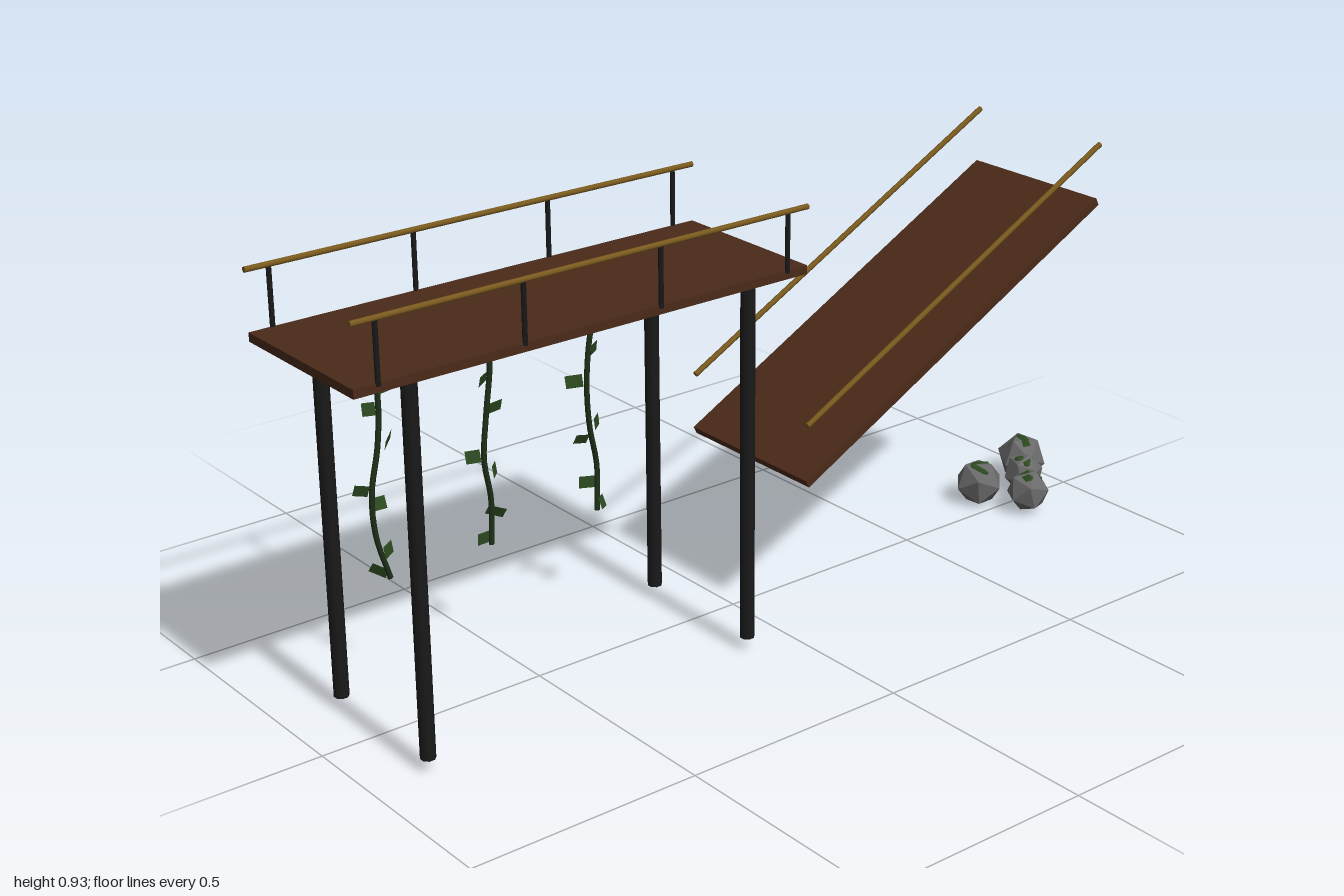
import * as THREE from 'three';

const mat = (color, extra = {}) => {
  const m = new THREE.MeshStandardMaterial({ color, ...extra });
  return m;
};
const wood = mat(0x4a2a18);
const bamboo = mat(0x7a5a1e);
const iron = mat(0x1a1a1a);
const vineGreen = mat(0x1f3018);
const leafGreen = mat(0x2c4a20, { side: THREE.DoubleSide });
const stone = mat(0x6a6a6a, { flatShading: true });
const mossGreen = mat(0x2c4a20, { flatShading: true });

const CZ = 0.0165;      // middle of the walkway in z
const HALF = 0.18;      // half the walkway width

function add(parent, name, geometry, material, x = 0, y = 0, z = 0) {
  const mesh = new THREE.Mesh(geometry, material);
  mesh.name = name;
  mesh.position.set(x, y, z);
  parent.add(mesh);
  return mesh;
}

// Round rail lying along x
function rail(parent, name, length, x, y, z) {
  const g = new THREE.CylinderGeometry(0.006, 0.006, length, 8).rotateZ(Math.PI / 2);
  return add(parent, name, g, bamboo, x, y, z);
}

function buildPlatform() {
  const g = new THREE.Group();
  g.name = 'platform';
  const cx = -0.4875;
  add(g, 'deck', new THREE.BoxGeometry(1.025, 0.018, HALF * 2), wood, cx, 0.806, CZ);
  for (const side of [1, -1]) {
    const z = CZ + side * HALF;
    rail(g, 'handrail', 1.025, cx, 0.935, z);
    for (let i = 0; i < 4; i++) {
      add(g, 'railPost', new THREE.CylinderGeometry(0.005, 0.005, 0.125, 6), iron,
        cx - 0.4625 + i * 0.3083, 0.8725, z);
    }
    for (const end of [1, -1]) {
      add(g, 'pillar', new THREE.CylinderGeometry(0.0155, 0.0155, 0.764, 8).rotateY(Math.PI / 8), iron,
        cx + end * 0.385, 0.418, CZ + side * 0.154);
    }
  }
  return g;
}

function buildRamp() {
  const g = new THREE.Group();
  g.name = 'ramp';
  const tilt = 0.489;
  add(g, 'rampDeck', new THREE.BoxGeometry(0.92, 0.018, HALF * 2 + 0.004), wood, 0.4375, 0.563, CZ).rotation.z = tilt;
  for (const side of [1, -1]) {
    rail(g, 'rampHandrail', 0.92, 0.4375, 0.69, CZ + side * HALF).rotation.z = tilt;
  }
  return g;
}

// Hanging vine: wavy stem with small flat leaves. Path is x at even steps downward.
function buildVine(xs, zs, flip, seed) {
  const g = new THREE.Group();
  g.name = 'vine';
  const top = 0.8, bottom = 0.235;
  const curve = new THREE.CatmullRomCurve3(xs.map((x, i) =>
    new THREE.Vector3(x, top + (bottom - top) * i / (xs.length - 1), zs[i])));
  add(g, 'vineStem', new THREE.TubeGeometry(curve, 28, 0.006, 5), vineGreen);
  // Height, sideways offset and width of each leaf
  const leaves = [
    [0.695, -0.018, 0.036], [0.635, 0.022, 0.04], [0.59, -0.014, 0.026], [0.525, 0.022, 0.036],
    [0.43, -0.018, 0.03], [0.395, 0.02, 0.03], [0.295, 0.018, 0.038], [0.25, -0.012, 0.036],
  ];
  leaves.forEach(([y, dx, w], i) => {
    const p = curve.getPoint((top - y) / (top - bottom));
    const a = Math.sin(seed + i * 2.4);
    const leaf = add(g, 'leaf', new THREE.PlaneGeometry(w, 0.026), leafGreen,
      p.x + dx * flip, y, p.z - 0.006 + 0.008 * a);
    leaf.rotation.set(0.5 * Math.cos(seed + i * 1.7), 0.75 * a, 0.15 * a);
  });
  return g;
}

// Faceted boulder with a mossy top
function buildRock(x, y, z, r, turn) {
  const g = new THREE.Group();
  g.name = 'mossyRock';
  g.position.set(x, y, z);
  add(g, 'boulder', new THREE.IcosahedronGeometry(r, 0), stone).rotation.set(turn, turn * 1.7, turn * 0.6);
  const moss = add(g, 'moss', new THREE.IcosahedronGeometry(r * 0.72, 0), mossGreen, 0, r * 0.36, 0);
  moss.scale.y = 0.8;
  moss.rotation.y = turn * 2.3;
  return g;
}

export function createModel() {
  const model = new THREE.Group();
  model.name = 'walkwayWithRamp';
  model.add(buildPlatform(), buildRamp());

  // Vines under the back edge
  model.add(
    buildVine([-0.76, -0.745, -0.732, -0.74, -0.76, -0.755, -0.73],
      [-0.17, -0.172, -0.175, -0.172, -0.17, -0.172, -0.168], 1, 0.4),
    buildVine([-0.5, -0.475, -0.473, -0.488, -0.5, -0.483, -0.49],
      [-0.17, -0.176, -0.178, -0.174, -0.17, -0.176, -0.17], 1, 2.1),
    buildVine([-0.227, -0.212, -0.23, -0.242, -0.236, -0.217, -0.227],
      [-0.17, -0.172, -0.178, -0.174, -0.176, -0.18, -0.168], -1, 4.0),
  );

  // Rock pile below the high end of the ramp
  model.add(
    buildRock(0.82, 0.06, 0.058, 0.05, 0.4),
    buildRock(0.885, 0.06, -0.02, 0.047, 1.1),
    buildRock(0.943, 0.063, -0.085, 0.057, 1.9),
    buildRock(0.77, 0.058, -0.05, 0.056, 2.6),
  );
  return model;
}
